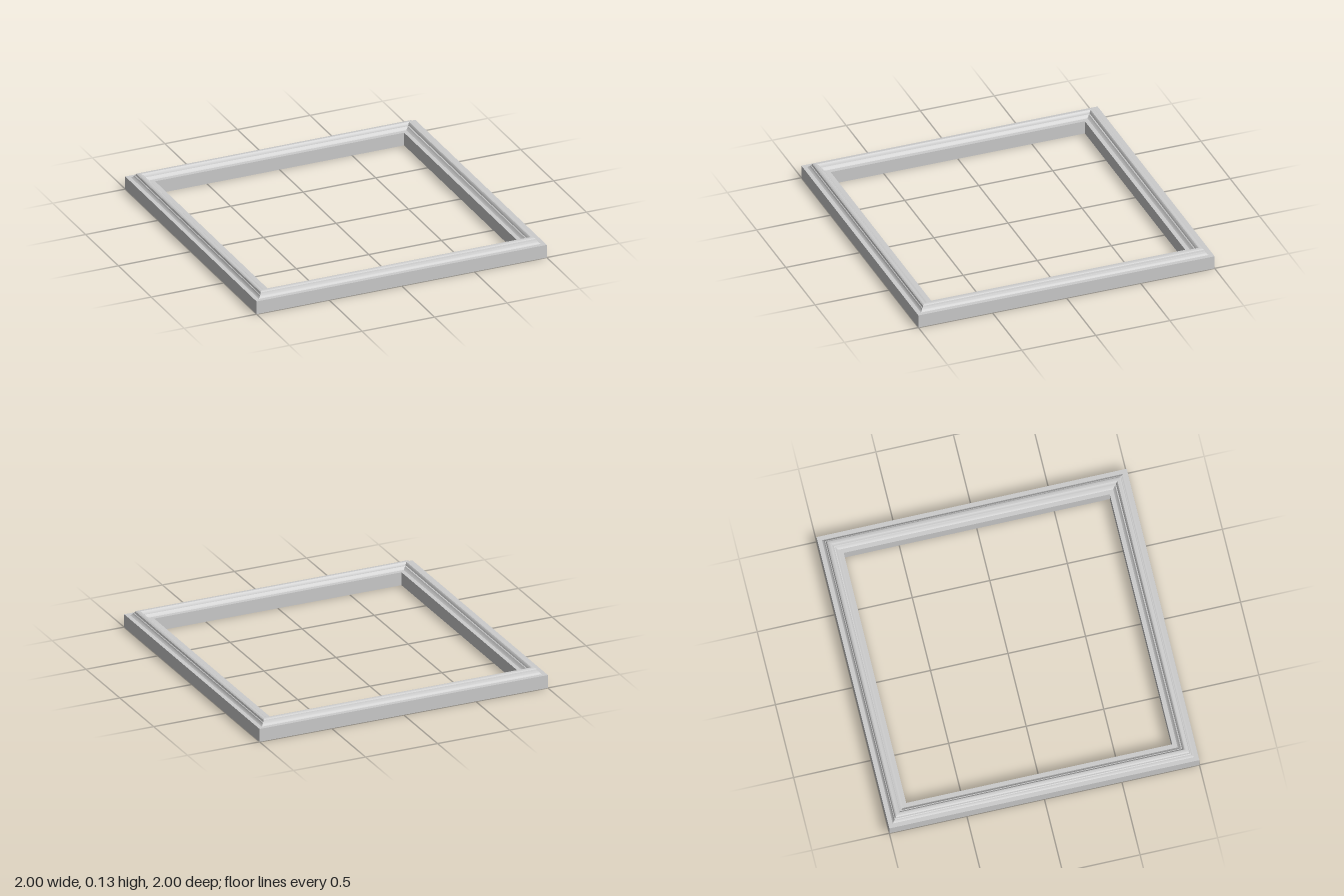
import * as THREE from 'three';
import { toCreasedNormals } from 'three/addons/utils/BufferGeometryUtils.js';

export function createModel() {
  const group = new THREE.Group();
  group.name = 'squareFrame';

  // Moulding cross-section: [half-width from centre, height], counter-clockwise
  const profile = [
    [0.858, 0], [1, 0], [1, 0.088],                       // underside, outer wall
    [0.972, 0.088], [0.963, 0.094], [0.957, 0.105],       // outer ledge and cove
    [0.952, 0.107], [0.948, 0.118], [0.94, 0.124],        // step and rounded shoulder
    [0.932, 0.126], [0.922, 0.124], [0.915, 0.118],       // crown
    [0.91, 0.107], [0.903, 0.105], [0.895, 0.094],        // inner step and cove
    [0.886, 0.088], [0.858, 0.088], [0.858, 0],           // inner ledge and wall
  ].map(([r, y]) => new THREE.Vector2(r * Math.SQRT2, y));

  // Four-sided sweep gives straight rails with mitred corners
  const sweep = new THREE.LatheGeometry(profile, 4, Math.PI / 4);
  const frame = new THREE.Mesh(
    toCreasedNormals(sweep, 0.5),
    new THREE.MeshStandardMaterial({ color: 0xcccccc })
  );
  frame.name = 'mouldedFrame';
  group.add(frame);

  return group;
}
